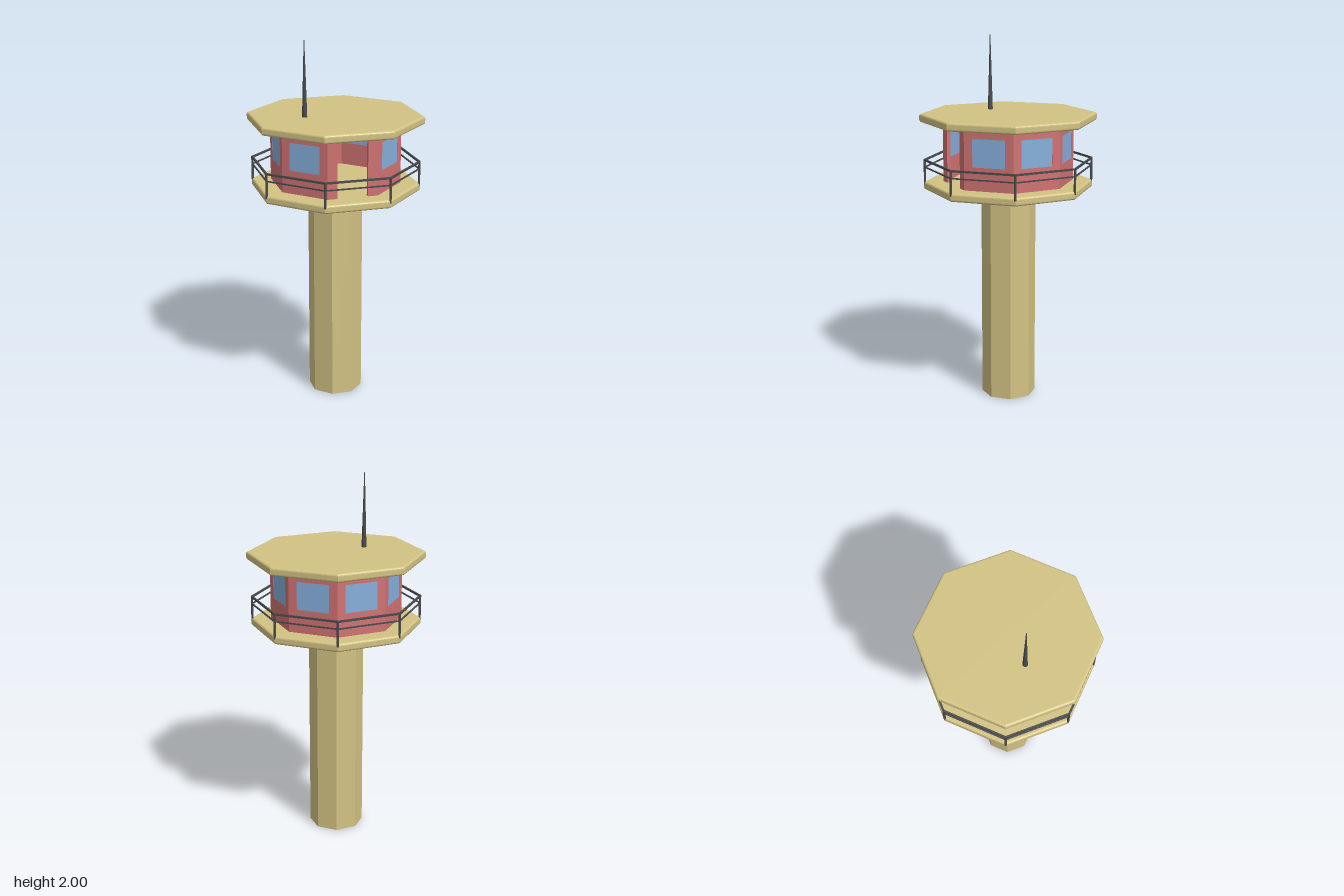
import * as THREE from 'three';

const SIDES = 8;
const HALF = Math.PI / SIDES;
const sideLength = (apothem) => 2 * apothem * Math.tan(HALF);

function material(color) {
  return new THREE.MeshStandardMaterial({ color, flatShading: true });
}

const sand = material(0xd2c283);
const red = material(0xd07272);
const blue = material(0x86afdb);
const dark = material(0x484a4c);

function addMesh(parent, name, geometry, mat) {
  const mesh = new THREE.Mesh(geometry, mat);
  mesh.name = name;
  parent.add(mesh);
  return mesh;
}

// Octagonal slab with rounded edges, flat sides facing the axes
function slabGeometry(apothem, bottom, top) {
  const bevel = 0.012;
  const radius = apothem / Math.cos(HALF);
  const points = [];
  for (let i = 0; i < SIDES; i++) {
    const a = HALF + i * 2 * HALF;
    points.push(new THREE.Vector2(radius * Math.cos(a), radius * Math.sin(a)));
  }
  const geometry = new THREE.ExtrudeGeometry(new THREE.Shape(points), {
    depth: top - bottom - 2 * bevel,
    bevelEnabled: true,
    bevelSize: bevel,
    bevelThickness: bevel,
    bevelOffset: -bevel,
    bevelSegments: 4,
  });
  geometry.rotateX(-Math.PI / 2);
  geometry.translate(0, bottom + bevel, 0);
  return geometry;
}

function rectangle(target, x, y0, y1) {
  target.moveTo(-x, y0);
  target.lineTo(x, y0);
  target.lineTo(x, y1);
  target.lineTo(-x, y1);
  target.closePath();
  return target;
}

// Wall panel with an opening; the doorway reaches down to the floor
function wallGeometry(width, y0, y1, thickness, isDoor) {
  const w = width / 2;
  let shape;
  if (isDoor) {
    const d = 0.082;
    shape = new THREE.Shape([
      [-w, y0], [-d, y0], [-d, 1.522], [d, 1.522], [d, y0], [w, y0], [w, y1], [-w, y1],
    ].map(([x, y]) => new THREE.Vector2(x, y)));
  } else {
    shape = rectangle(new THREE.Shape(), w, y0, y1);
    shape.holes.push(rectangle(new THREE.Path(), 0.09, 1.35, 1.5));
  }
  return new THREE.ExtrudeGeometry(shape, { depth: thickness, bevelEnabled: false });
}

export function createModel() {
  const model = new THREE.Group();
  model.name = 'controlTower';

  // Shaft
  const shaft = addMesh(model, 'shaft',
    new THREE.CylinderGeometry(0.149, 0.149, 1.19, SIDES), sand);
  shaft.rotation.y = HALF;
  shaft.position.y = 0.595;

  // Platform and roof
  addMesh(model, 'platform', slabGeometry(0.426, 1.18, 1.225), sand);
  addMesh(model, 'roof', slabGeometry(0.444, 1.55, 1.595), sand);

  // Hollow cabin and balcony railing, one sector per side
  const cabin = new THREE.Group();
  cabin.name = 'cabin';
  const railing = new THREE.Group();
  railing.name = 'railing';
  model.add(cabin, railing);

  const wallApothem = 0.328;
  const thickness = 0.02;
  const railApothem = 0.421;
  const railLength = sideLength(railApothem);

  for (let i = 0; i < SIDES; i++) {
    const angle = i * 2 * HALF;

    const wallSide = new THREE.Group();
    wallSide.name = 'cabinSide';
    wallSide.rotation.y = angle;
    cabin.add(wallSide);
    const isDoor = i === 0;
    const wall = addMesh(wallSide, isDoor ? 'doorwayWall' : 'wall',
      wallGeometry(sideLength(wallApothem), 1.22, 1.555, thickness, isDoor), red);
    wall.position.z = wallApothem - thickness;
    if (!isDoor) {
      const pane = addMesh(wallSide, 'window',
        new THREE.BoxGeometry(0.18, 0.15, thickness - 0.002), blue);
      pane.position.set(0, 1.425, wallApothem - thickness / 2);
    }

    const railSide = new THREE.Group();
    railSide.name = 'railingSide';
    railSide.rotation.y = angle;
    railing.add(railSide);
    for (const [name, y, size] of [['topRail', 1.343, 0.01], ['middleRail', 1.304, 0.007]]) {
      const rail = addMesh(railSide, name, new THREE.BoxGeometry(railLength, size, size), dark);
      rail.position.set(0, y, railApothem);
    }
    const post = addMesh(railSide, 'post',
      new THREE.CylinderGeometry(0.0065, 0.0065, 0.138, 8), dark);
    post.position.set(railLength / 2, 1.278, railApothem);
  }

  // Tapered antenna on the roof
  const antenna = addMesh(model, 'antenna',
    new THREE.CylinderGeometry(0.002, 0.0145, 0.41, 8), dark);
  antenna.position.set(-0.175, 1.795, 0.024);

  return model;
}
